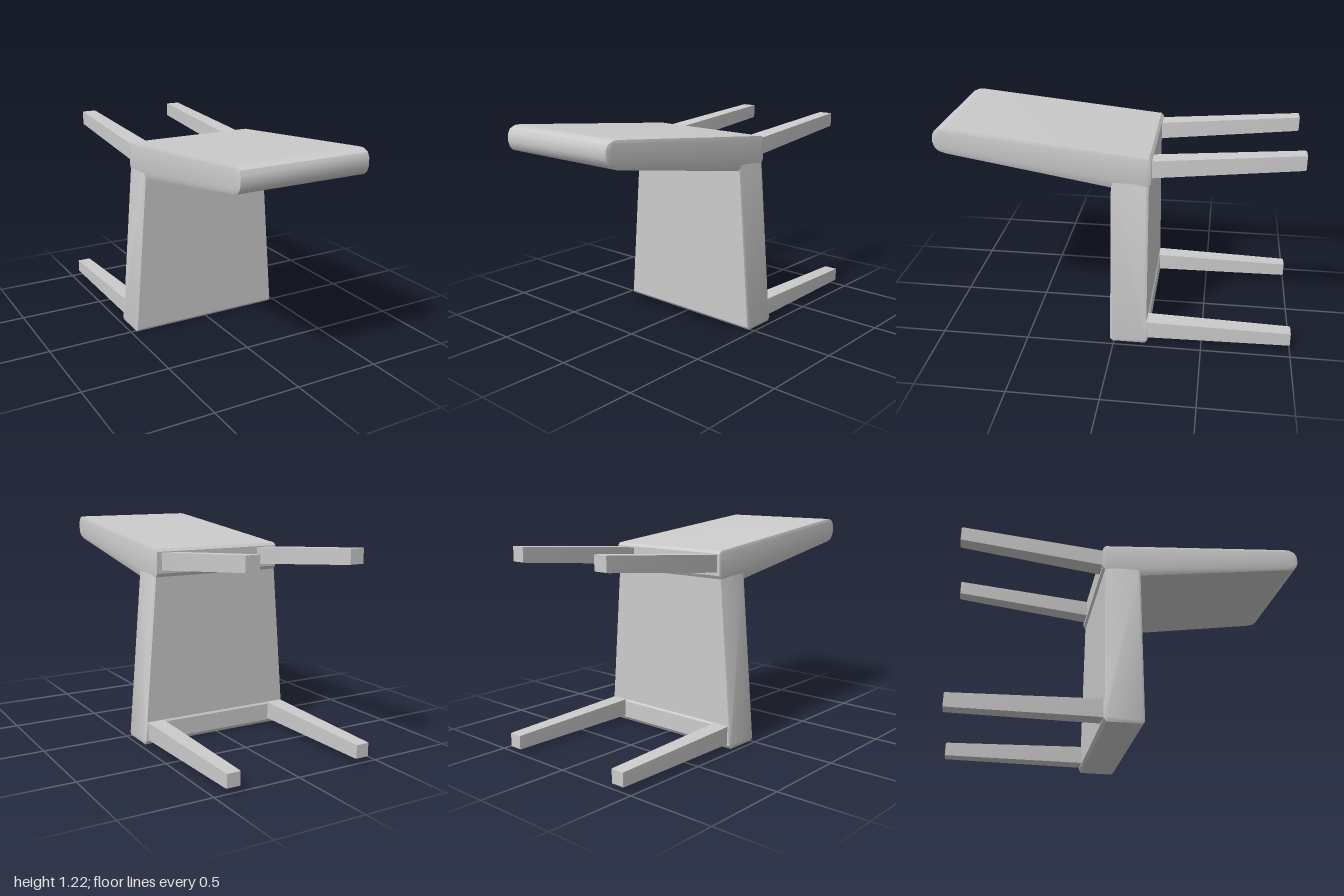
import * as THREE from 'three';
import { toCreasedNormals } from 'three/addons/utils/BufferGeometryUtils.js';

const material = new THREE.MeshStandardMaterial({ color: 0xcccccc });
const lerp = THREE.MathUtils.lerp;

function makeMesh(name, geometry) {
  const mesh = new THREE.Mesh(toCreasedNormals(geometry, 0.5), material);
  mesh.name = name;
  return mesh;
}

// Move every vertex of a geometry by a rule
function deform(geometry, rule) {
  const p = geometry.attributes.position;
  const v = new THREE.Vector3();
  for (let i = 0; i < p.count; i++) {
    rule(v.fromBufferAttribute(p, i));
    p.setXYZ(i, v.x, v.y, v.z);
  }
  return geometry;
}

function bevelled(points, depth, bevel) {
  const shape = new THREE.Shape(points.map(([a, b]) => new THREE.Vector2(a, b)));
  const geometry = new THREE.ExtrudeGeometry(shape, {
    depth: depth - 2 * bevel, bevelEnabled: true, bevelSize: bevel,
    bevelThickness: bevel, bevelOffset: -bevel, bevelSegments: 1,
  });
  geometry.translate(0, 0, bevel - depth / 2);
  return geometry;
}

// Side profile of [z, y] points, extruded across x; halfWidth(v) tapers it
function slab(name, profile, halfWidth) {
  const geometry = bevelled(profile, 2, 0.014).rotateY(-Math.PI / 2);
  return makeMesh(name, deform(geometry, (v) => { v.x *= halfWidth(v); }));
}

// Square leg running back along z; root and tip are [x0, x1, y0, y1]
function leg(name, root, tip) {
  const square = [[-0.5, -0.5], [0.5, -0.5], [0.5, 0.5], [-0.5, 0.5]];
  const geometry = bevelled(square, 1, 0.015);
  deform(geometry, (v) => {
    const t = 0.5 - v.z;
    const [x0, x1, y0, y1] = root.map((r, i) => lerp(r, tip[i], t));
    v.set(lerp(x0, x1, v.x + 0.5), lerp(y0, y1, v.y + 0.5), lerp(-0.165, -1, t));
  });
  return makeMesh(name, geometry);
}

export function createModel() {
  const chair = new THREE.Group();
  chair.name = 'tippedChair';

  // Seat, standing on its rear edge and widening toward the ground
  chair.add(slab('seat', [
    [0.01, 0], [0.022, 0.015], [0.022, 0.97], [-0.183, 0.97],
    [-0.186, 0.13], [-0.194, 0.12], [-0.194, 0.02], [-0.18, 0],
  ].reverse(), (v) => 0.473 - 0.084 * v.y));

  // Backrest with a rounded far end
  chair.add(slab('backrest', [
    [-0.172, 0.928], [0.02, 0.928], [0.93, 1.073], [0.97, 1.085], [0.99, 1.105],
    [1, 1.135], [0.998, 1.175], [0.985, 1.2], [0.95, 1.215],
    [0.92, 1.215], [-0.18, 1.1], [-0.195, 1.085], [-0.195, 0.965],
  ], (v) => 0.391 - 0.015 * v.z));

  // Four tapered legs pointing backwards
  chair.add(leg('upperLegRight', [-0.37, -0.26, 0.98, 1.077], [-0.365, -0.28, 1.06, 1.142]));
  chair.add(leg('upperLegLeft', [0.255, 0.36, 0.98, 1.077], [0.255, 0.337, 1.06, 1.142]));
  chair.add(leg('lowerLegRight', [-0.452, -0.352, 0.028, 0.13], [-0.45, -0.37, 0.028, 0.105]));
  chair.add(leg('lowerLegLeft', [0.352, 0.453, 0.028, 0.13], [0.35, 0.43, 0.028, 0.105]));

  return chair;
}
